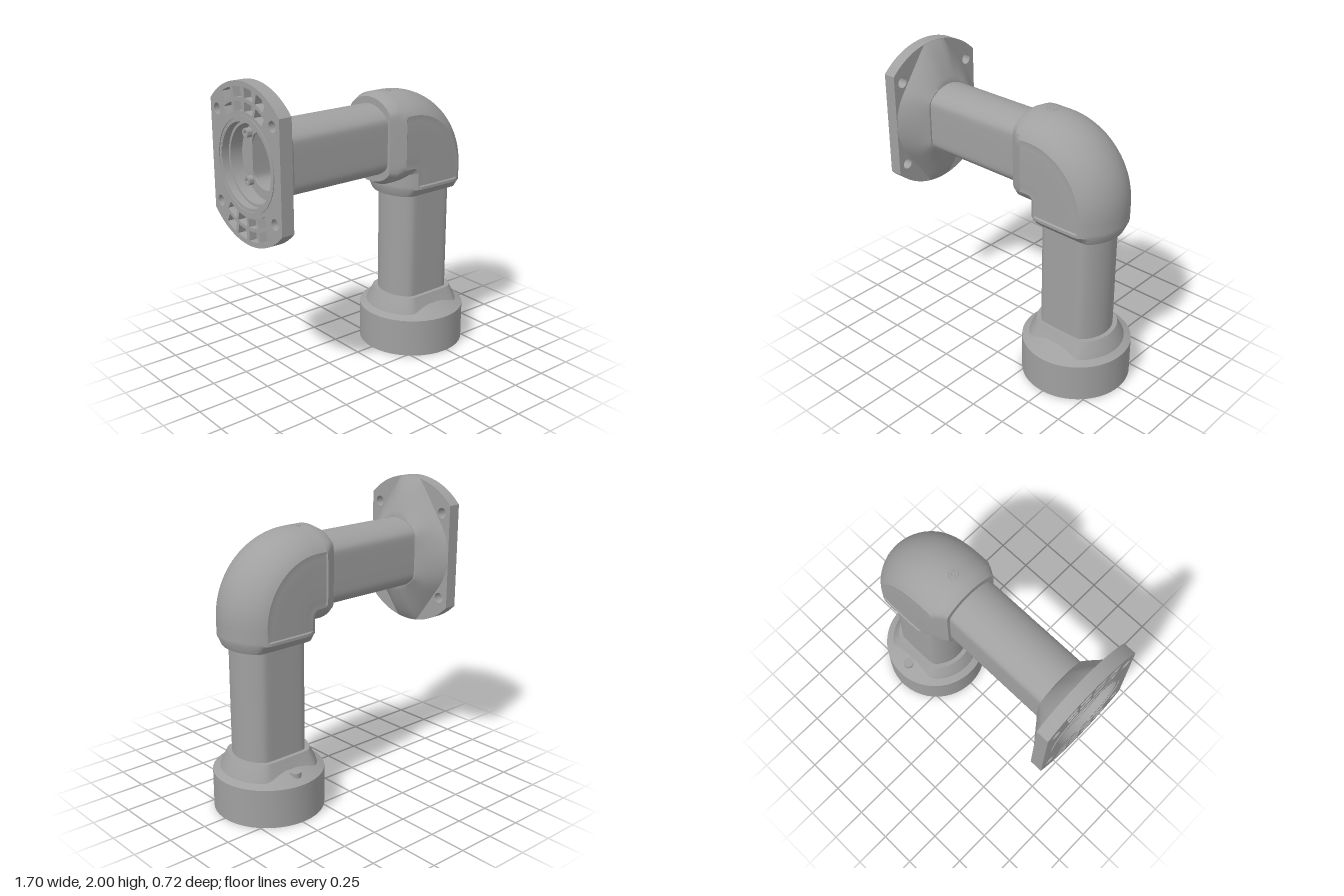
import * as THREE from 'three';
import { toCreasedNormals } from 'three/addons/utils/BufferGeometryUtils.js';

const N = 72;            // points round each cross-section
const PIPE_X = 0.485;    // axis of the upright pipe
const PIPE_Y = 1.5;      // axis of the level pipe
const BEND = { x: 0.26, y: 1.275, r: 0.225 };

// Circle of radius r flattened at v = +-c, with soft corners; recess sinks the flat
function section(r, c, recess = 0) {
  return Array.from({ length: N }, (_, i) => {
    const t = (i / N) * Math.PI * 2;
    const s = r * Math.sin(t), a = Math.abs(s);
    let v = Math.max(0, (a + c - Math.hypot(a - c, 0.015)) / 2);
    if (a > c * 1.03) v -= recess;
    return [r * Math.cos(t), Math.sign(s) * v];
  });
}

// Skin through rings of [x, y, z] points
function loft(rings) {
  const n = rings[0].length, index = [];
  for (let j = 0; j < rings.length - 1; j++) {
    for (let i = 0; i < n; i++) {
      const k = (i + 1) % n, a = j * n + i, b = j * n + k;
      index.push(a, a + n, b, b, a + n, b + n);
    }
  }
  const g = new THREE.BufferGeometry();
  g.setAttribute('position', new THREE.Float32BufferAttribute(rings.flat(2), 3));
  g.setIndex(index);
  return toCreasedNormals(g, 0.5);
}

const level = (x, s) => s.map(([u, v]) => [x, PIPE_Y + u, v]);
const upright = (y, s) => s.map(([u, v]) => [PIPE_X + u, y, v]);
const bendRing = (a, s) => s.map(([u, v]) => {
  const d = Math.max(0.004, BEND.r + u);
  return [BEND.x + Math.sin(a) * d, BEND.y + Math.cos(a) * d, v];
});

function circleHole(shape, x, y, r) {
  shape.holes.push(new THREE.Path().absarc(x, y, r, 0, Math.PI * 2, true));
}

function extrude(shape, depth) {
  const g = new THREE.ExtrudeGeometry(shape, { depth, bevelEnabled: false, curveSegments: 32 });
  return toCreasedNormals(g, 0.5);
}

// Wall plate outline: disc with both sides cut straight, and four bolt holes
function plateShape() {
  const a = Math.acos(0.36 / 0.5), s = new THREE.Shape();
  s.absarc(0, 0, 0.5, a, Math.PI - a, false);
  s.absarc(0, 0, 0.5, Math.PI + a, Math.PI * 2 - a, false);
  s.closePath();
  circleHole(s, 0, 0, 0.27);
  for (const x of [-0.29, 0.29]) for (const y of [-0.29, 0.29]) circleHole(s, x, y, 0.035);
  return s;
}

export function createModel() {
  const model = new THREE.Group();
  const grey = new THREE.MeshStandardMaterial({ color: 0xa0a0a0, side: THREE.DoubleSide });
  grey.name = 'painted grey metal';
  const add = (name, geometry, parent = model) => {
    const m = new THREE.Mesh(geometry, grey);
    m.name = name;
    parent.add(m);
    return m;
  };

  // Pipes
  const pipe = section(0.235, 0.178);
  add('levelPipe', loft([level(-0.7, pipe), level(0.12, pipe)]));
  add('uprightPipe', loft([upright(0.255, pipe), upright(1.13, pipe)]));

  // Elbow: two chamfered sockets and a quarter bend with sunken side panels
  const elbow = new THREE.Group();
  elbow.name = 'elbow';
  model.add(elbow);
  const lip = section(0.28, 0.197), full = section(0.305, 0.255), panel = section(0.305, 0.255, 0.008);
  add('levelSocket', loft([
    level(0.1, pipe), level(0.1, lip), level(0.15, section(0.305, 0.228)),
    level(0.195, full), level(0.203, panel), level(BEND.x, panel),
  ]), elbow);
  add('uprightSocket', loft([
    upright(1.115, pipe), upright(1.115, lip), upright(1.172, full),
    upright(1.19, full), upright(1.198, panel), upright(BEND.y, panel),
  ]), elbow);
  const bend = [];
  for (let i = 0; i <= 24; i++) bend.push(bendRing((i / 24) * Math.PI / 2, panel));
  add('bend', loft(bend), elbow);

  // Set screw on top of the elbow
  const ring = add('setScrewRim', new THREE.TorusGeometry(0.03, 0.004, 8, 32), elbow);
  ring.rotation.x = Math.PI / 2;
  ring.position.set(0.24, 1.803, 0);
  const screw = add('setScrew', new THREE.TorusGeometry(0.014, 0.004, 8, 24), elbow);
  screw.rotation.x = Math.PI / 2;
  screw.position.set(0.24, 1.804, 0);

  // Wall flange: plain front layer, ribbed back layer with arc pockets
  const flange = new THREE.Group();
  flange.name = 'wallFlange';
  model.add(flange);
  const ribbed = plateShape();
  for (const side of [Math.PI / 2, -Math.PI / 2]) {
    for (const [r0, r1, reach] of [[0.325, 0.382, 0.62], [0.405, 0.468, 0.54]]) {
      for (let i = 0; i < 4; i++) {
        const a0 = side - reach + (i * reach) / 2 + 0.03, a1 = a0 + reach / 2 - 0.06;
        const p = new THREE.Path();
        p.absarc(0, 0, r1, a0, a1, false);
        p.absarc(0, 0, r0, a1, a0, true);
        p.closePath();
        ribbed.holes.push(p);
      }
    }
  }
  const back = add('ribbedPlate', extrude(ribbed, 0.05), flange);
  const front = add('frontPlate', extrude(plateShape(), 0.035), flange);
  back.position.set(-0.85, PIPE_Y, 0);
  front.position.set(-0.8, PIPE_Y, 0);
  back.rotation.y = front.rotation.y = Math.PI / 2;

  // Flange hub: round at the sides, drawn out to ridges above and below
  const hubRadius = (t) => {
    const phi = Math.acos(Math.min(1, Math.abs(Math.cos(t))));
    if (phi < 0.18) return 0.5;
    return phi < 0.95 ? 0.36 / Math.cos(0.95 - phi) : 0.36;
  };
  const neck = section(0.24, 0.19), hub = [];
  for (let j = 0; j <= 10; j++) {
    const f = j / 10;
    hub.push(neck.map(([u, v], i) => {
      const t = (i / N) * Math.PI * 2, r = hubRadius(t);
      const bulge = 0.1 * f * (1 - f) * Math.cos(t) ** 2;
      const y = (r * Math.cos(t)) * (1 - f) + u * f + Math.sign(Math.cos(t)) * bulge;
      return [-0.766 + 0.131 * f, PIPE_Y + y, r * Math.sin(t) * (1 - f) + v * f];
    }));
  }
  hub.push(level(-0.635, pipe));
  add('hub', loft(hub), flange);

  // Round cup behind the hub, with a stepped wall, a floor and four bosses
  const cupProfile = [[0.3, -0.001], [0.3, -0.006], [0.283, -0.006], [0.283, 0.001],
    [0.262, 0.001], [0.262, 0.05], [0.245, 0.05], [0.245, 0.14]];
  const cup = add('cupWall', toCreasedNormals(
    new THREE.LatheGeometry(cupProfile.map(([x, y]) => new THREE.Vector2(x, y)), 64), 0.5), flange);
  cup.rotation.z = -Math.PI / 2;
  cup.position.set(-0.85, PIPE_Y, 0);
  const floor = new THREE.Shape().absarc(0, 0, 0.25, 0, Math.PI * 2, false);
  floor.holes.push(new THREE.Path(section(0.18, 0.13).map(([u, v]) => new THREE.Vector2(v, u))));
  const cupFloor = add('cupFloor', extrude(floor, 0.015), flange);
  cupFloor.rotation.y = Math.PI / 2;
  cupFloor.position.set(-0.715, PIPE_Y, 0);
  for (const y of [-1, 1]) for (const z of [-1, 1]) {
    const s = new THREE.Shape().absarc(0, 0, 0.03, 0, Math.PI * 2, false);
    circleHole(s, 0, 0, 0.014);
    const boss = add('screwBoss', extrude(s, 0.04), flange);
    boss.rotation.y = Math.PI / 2;
    boss.position.set(-0.75, PIPE_Y + y * 0.15, z * 0.15);
  }

  // Round end cap: drilled drum, sloping shoulder, flattened collar
  const cap = new THREE.Group();
  cap.name = 'endCap';
  model.add(cap);
  const drumShape = new THREE.Shape().absarc(0, 0, 0.36, 0, Math.PI * 2, false);
  circleHole(drumShape, 0, 0, 0.163);
  for (const s of [-1, 1]) {
    circleHole(drumShape, s * 0.203, 0, 0.032);
    for (const t of [-1, 1]) circleHole(drumShape, s * 0.15, t * 0.18, 0.014);
  }
  const drum = add('drum', extrude(drumShape, 0.258), cap);
  drum.rotation.x = -Math.PI / 2;
  drum.position.x = PIPE_X;
  const shoulder = add('shoulder', new THREE.CylinderGeometry(0.235, 0.36, 0.06, 64, 1, true), cap);
  shoulder.position.set(PIPE_X, 0.288, 0);
  add('collar', loft([
    upright(0.26, section(0.32, 0.26)), upright(0.305, section(0.305, 0.238)),
    upright(0.385, section(0.265, 0.205)), upright(0.385, pipe),
  ]), cap);
  const peg = add('peg', new THREE.CylinderGeometry(0.036, 0.036, 0.1, 32), cap);
  peg.position.set(PIPE_X, 0.266, -0.275);

  return model;
}
